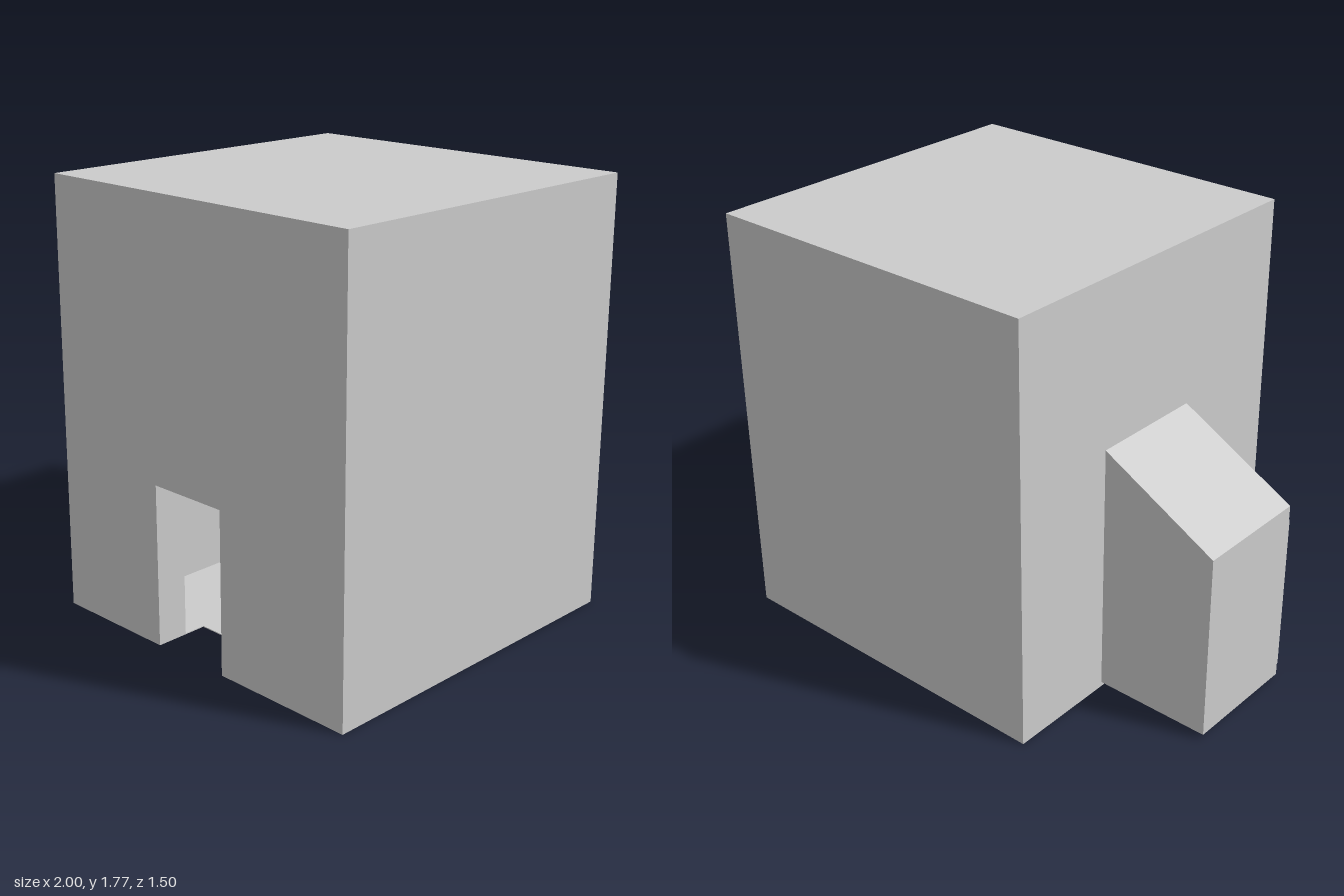
import * as THREE from 'three';

const material = new THREE.MeshStandardMaterial({ color: 0xcccccc, flatShading: true });

function add(group, name, geometry, x = 0, y = 0, z = 0) {
  const mesh = new THREE.Mesh(geometry, material);
  mesh.name = name;
  mesh.position.set(x, y, z);
  group.add(mesh);
  return mesh;
}

// Box given by its two extreme corners
function block(group, name, [x0, y0, z0], [x1, y1, z1]) {
  return add(group, name, new THREE.BoxGeometry(x1 - x0, y1 - y0, z1 - z0),
    (x0 + x1) / 2, (y0 + y1) / 2, (z0 + z1) / 2);
}

function extrude(points, depth) {
  const shape = new THREE.Shape(points.map(([x, y]) => new THREE.Vector2(x, y)));
  return new THREE.ExtrudeGeometry(shape, { depth, bevelEnabled: false });
}

// Skin four-cornered rings from back to front and close both ends
function loft(rings) {
  const out = [];
  const quad = (a, b, c, d) => out.push(...a, ...b, ...c, ...a, ...c, ...d);
  for (let r = 0; r < rings.length - 1; r++) {
    const a = rings[r], b = rings[r + 1];
    for (let i = 0; i < 4; i++) {
      const j = (i + 1) % 4;
      quad(a[i], a[j], b[j], b[i]);
    }
  }
  quad(...rings[0].slice().reverse());
  quad(...rings[rings.length - 1]);
  const geometry = new THREE.BufferGeometry();
  geometry.setAttribute('position', new THREE.Float32BufferAttribute(out, 3));
  geometry.computeVertexNormals();
  return geometry;
}

export function createModel() {
  const model = new THREE.Group();
  model.name = 'building';

  // Hollow main block
  const left = 1, right = -0.5, top = 1.77, half = 0.75, t = 0.133;
  const doorA = 0.04, doorB = 0.39, doorTop = 0.66, inner = half - t;
  const house = new THREE.Group();
  house.name = 'mainBlock';
  model.add(house);

  add(house, 'frontWall', extrude([
    [right, 0], [doorA, 0], [doorA, doorTop], [doorB, doorTop],
    [doorB, 0], [left, 0], [left, top], [right, top],
  ], t), 0, 0, inner);
  block(house, 'backWall', [right, 0, -half], [left, top, -inner]);
  block(house, 'leftWall', [left - t, 0, -inner], [left, top, inner]);
  block(house, 'rightWall', [right, 0, -inner], [right + t, top, inner]);
  block(house, 'roof', [right + t, top - t, -inner], [left - t, top, inner]);

  // Thin floor, cut back behind the doorway
  const cut = 0.525;
  const floor = add(house, 'floor', extrude([
    [right + t, -inner], [doorA, -inner], [doorA, -cut], [doorB, -cut],
    [doorB, -inner], [left - t, -inner], [left - t, inner], [right + t, inner],
  ], 0.004));
  floor.rotation.x = -Math.PI / 2;

  // Lean-to with a recessed, bevelled front
  const annex = new THREE.Group();
  annex.name = 'leanTo';
  model.add(annex);
  const outline = [[-1, 0.02], [-0.5, 0.02], [-0.5, 1.08], [-1, 0.81]];
  const recess = [[-0.96, 0.09], [-0.54, 0.09], [-0.54, 0.99], [-0.96, 0.75]];
  const ring = (points, z) => points.map(([x, y]) => [x, y, z]);
  add(annex, 'leanToShell', loft([ring(outline, -0.28), ring(outline, 0.22), ring(recess, 0.16)]));

  // Door panel standing slightly proud of the lean-to
  block(annex, 'doorPanel', [-0.985, 0.05, 0.17], [-0.555, 0.73, 0.25]);

  // Sloped pane above the door panel
  add(annex, 'upperPane', extrude([[-0.96, 0.73], [-0.56, 0.73], [-0.56, 0.965], [-0.96, 0.745]], 0.02),
    0, 0, 0.155);

  return model;
}
